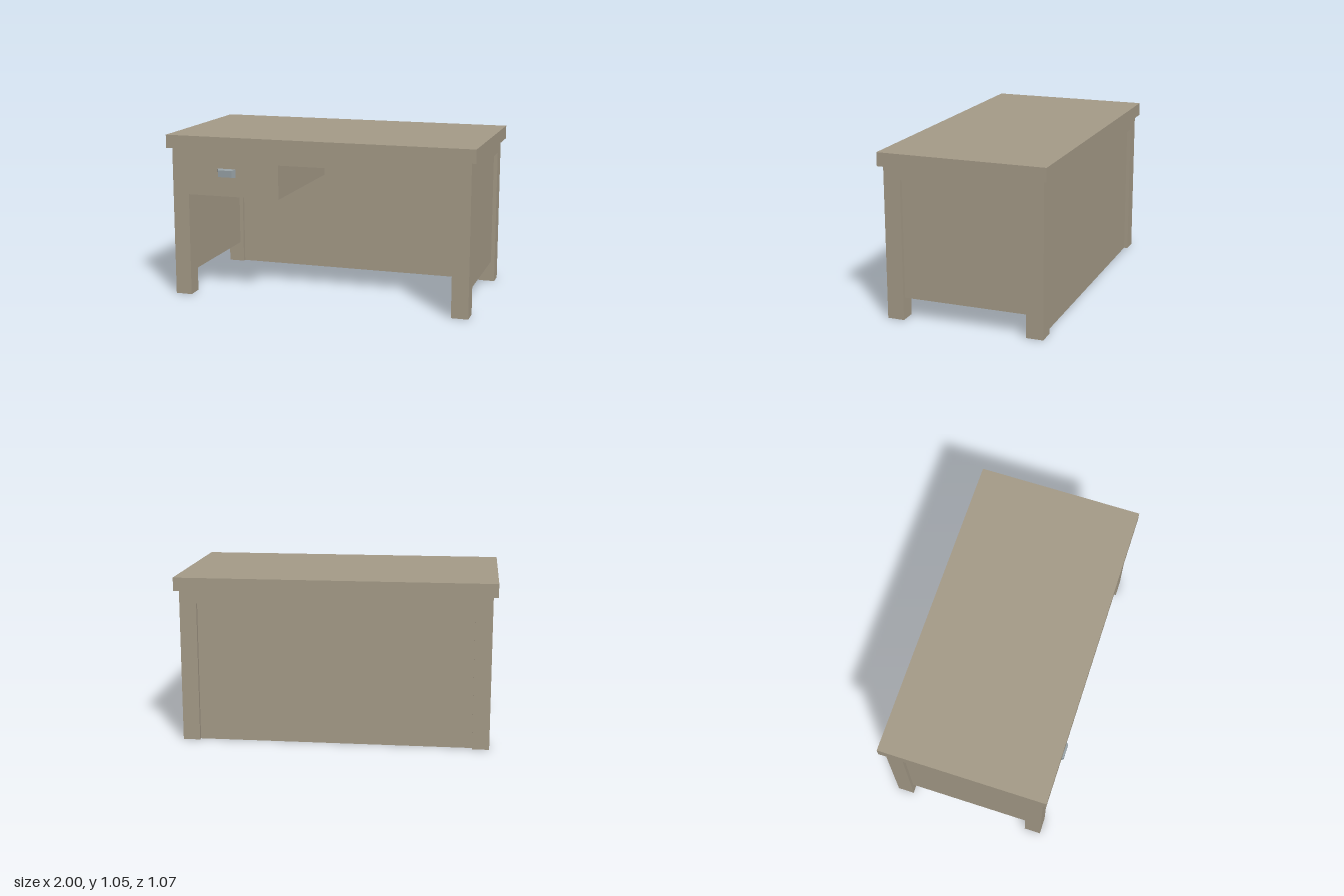
import * as THREE from 'three';

export function createModel() {
  const desk = new THREE.Group();
  desk.name = 'desk';
  const wood = new THREE.MeshStandardMaterial({ color: 0xa49a87 });
  const metal = new THREE.MeshStandardMaterial({ color: 0x96a0a4 });

  // Box given by its two limits on each axis
  const box = (name, [x0, x1], [y0, y1], [z0, z1]) => {
    const mesh = new THREE.Mesh(new THREE.BoxGeometry(x1 - x0, y1 - y0, z1 - z0), wood);
    mesh.position.set((x0 + x1) / 2, (y0 + y1) / 2, (z0 + z1) / 2);
    mesh.name = name;
    desk.add(mesh);
  };
  // Limits mirrored to the negative side when s is -1
  const span = (s, a, b) => (s > 0 ? [a, b] : [-b, -a]);

  const outX = 0.97, inX = 0.863;            // leg faces
  const front = [0.396, 0.503], back = [-0.507, -0.4];
  const railY = [0.885, 0.965];
  const inset = 0.025;                       // panels sit back from both leg faces

  box('tabletop', [-1, 1], [0.965, 1.05], [-0.532, 0.529]);

  // Legs, side rails and side panels
  for (const s of [1, -1]) {
    const side = s > 0 ? 'left' : 'right';
    const legX = span(s, inX, outX);
    box(side + 'FrontLeg', legX, [0, 0.965], front);
    box(side + 'BackLeg', legX, [0, 0.965], back);
    box(side + 'Rail', legX, railY, [back[1], front[0]]);
    box(side + 'Panel', span(s, inX + inset, outX - inset), [0.137, 0.885], [back[1], front[0]]);
  }

  // Front and back rails, back panel down to the floor
  box('frontRail', [-inX, inX], railY, front);
  box('backRail', [-inX, inX], railY, back);
  box('backPanel', [-inX, inX], [0, 0.885], [back[0] + inset, back[1] - inset]);

  // Drawer running back to the panel
  box('drawer', [-inX, -0.25], [0.667, 0.885], [back[1] - inset, front[1]]);

  // Drawer pull: a block tapering towards its front
  const pull = new THREE.BoxGeometry(0.122, 0.055, 0.032);
  const p = pull.attributes.position;
  for (let i = 0; i < p.count; i++) {
    if (p.getZ(i) > 0) p.setXY(i, p.getX(i) * 0.75, p.getY(i) * 0.78);
  }
  pull.computeVertexNormals();
  const handle = new THREE.Mesh(pull, metal);
  handle.name = 'drawerPull';
  handle.position.set(-0.597, 0.818, 0.519);
  desk.add(handle);

  return desk;
}
